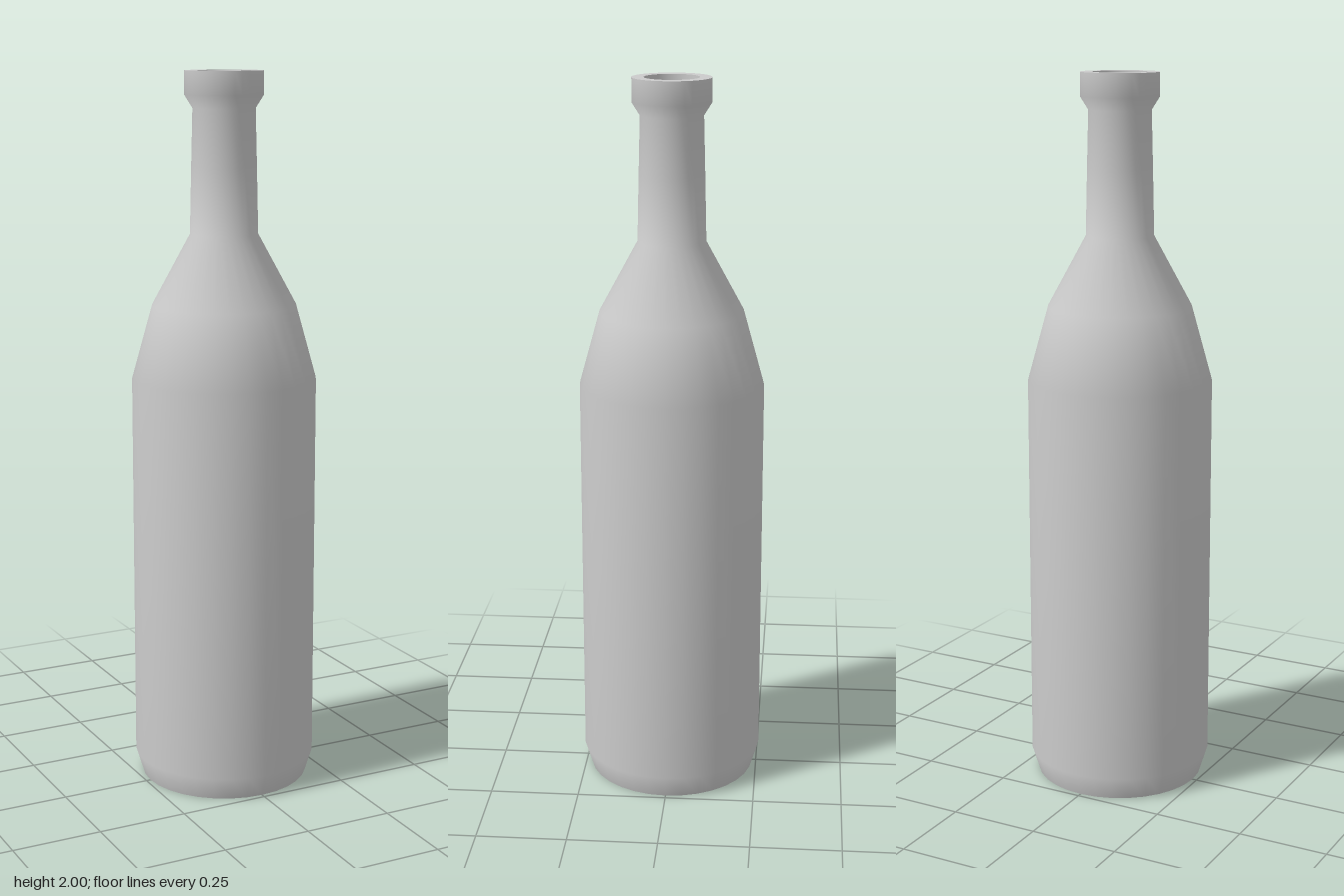
import * as THREE from 'three';

const SEGMENTS = 32;

export function createModel() {
  const group = new THREE.Group();
  group.name = 'bottle';
  const material = new THREE.MeshStandardMaterial({ color: 0xcccccc });

  // Revolves a profile of [radius, height] points; separate parts meet in sharp edges
  const addLathe = (name, profile) => {
    const points = profile.map(([r, y]) => new THREE.Vector2(r, y));
    const mesh = new THREE.Mesh(new THREE.LatheGeometry(points, SEGMENTS), material);
    mesh.name = name;
    group.add(mesh);
  };

  // Flat underside
  addLathe('base', [[0, 0], [0.237, 0]]);

  // Outer skin: bevelled foot, straight body, two-step shoulder, neck and collar
  addLathe('outerWall', [
    [0.237, 0], [0.257, 0.065], [0.257, 1.16], [0.2, 1.365],
    [0.094, 1.56], [0.09, 1.74], [0.086, 1.9], [0.108, 1.935], [0.108, 2],
  ]);

  // Flat ring around the mouth
  addLathe('rim', [[0.108, 2], [0.075, 2]]);

  // Hollow inside, running down from the mouth
  addLathe('innerWall', [
    [0.075, 2], [0.075, 1.55], [0.18, 1.35], [0.235, 1.15], [0.235, 0.05],
  ]);
  addLathe('innerFloor', [[0.235, 0.05], [0, 0.05]]);

  return group;
}
